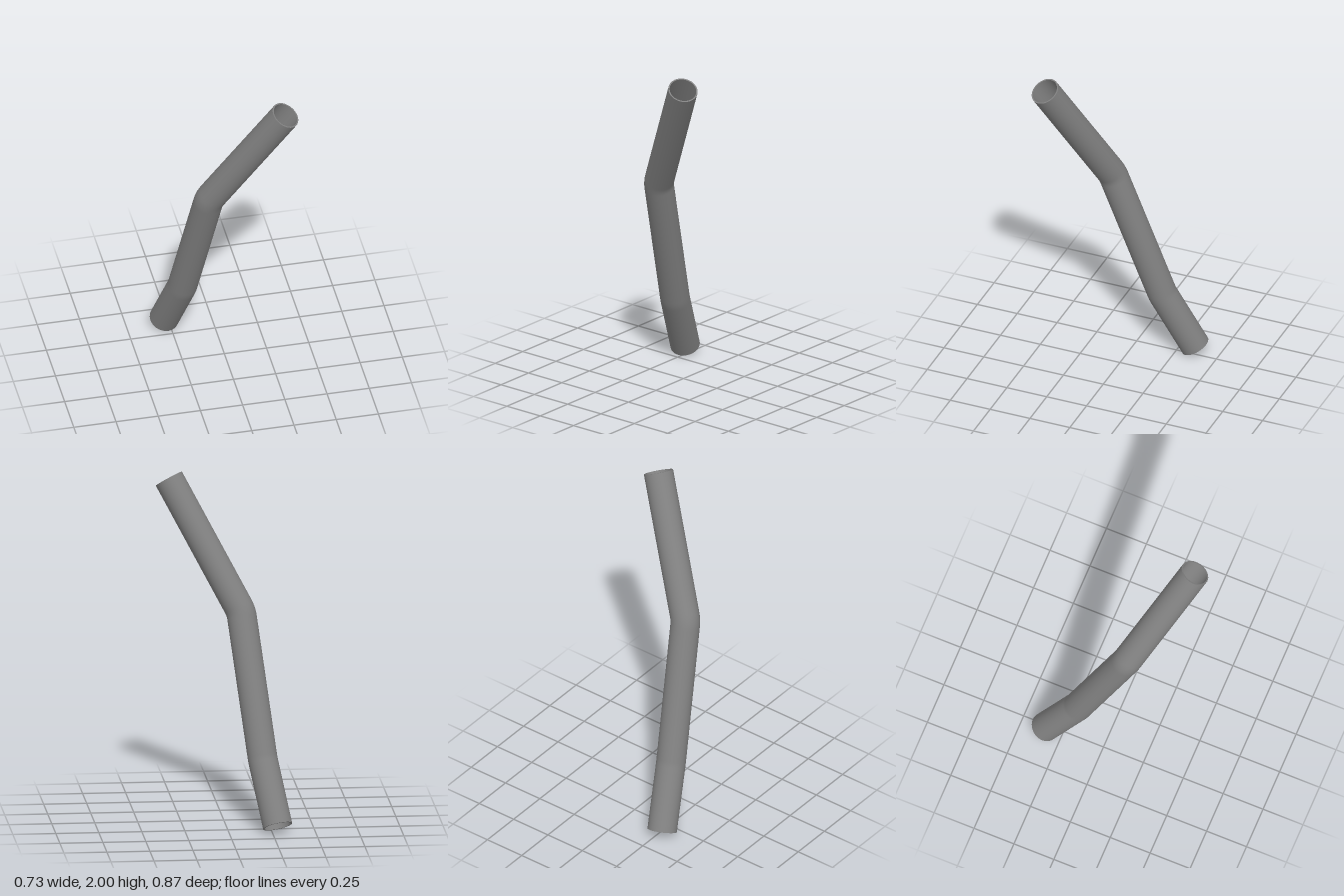
import * as THREE from 'three';

const OUTER = 0.086, INNER = 0.078;

export function createModel() {
  const group = new THREE.Group();
  group.name = 'bentPipe';
  const steel = new THREE.MeshStandardMaterial({ color: 0x808080, side: THREE.DoubleSide });
  steel.name = 'grey steel';

  const add = (name, geometry) => {
    const mesh = new THREE.Mesh(geometry, steel);
    mesh.name = name;
    group.add(mesh);
    return mesh;
  };

  // Centre line: three straight runs joined by two tight bends
  const points = [
    [-0.28, 0.04, -0.355], [-0.21, 0.398, -0.178], [-0.11, 1.215, 0.092], [0.286, 1.954, 0.351],
  ].map((p) => new THREE.Vector3(...p));
  const path = new THREE.CurvePath();
  const bendLength = [0, 0.02, 0.035];
  let start = points[0];
  for (let i = 1; i < 3; i++) {
    const towards = (to) => to.clone().sub(points[i]).setLength(bendLength[i]).add(points[i]);
    const enter = towards(points[i - 1]), leave = towards(points[i + 1]);
    path.add(new THREE.LineCurve3(start, enter));
    path.add(new THREE.QuadraticBezierCurve3(enter, points[i], leave));
    start = leave;
  }
  path.add(new THREE.LineCurve3(start, points[3]));

  // Outer and inner walls
  add('outerWall', new THREE.TubeGeometry(path, 180, OUTER, 40));
  add('innerWall', new THREE.TubeGeometry(path, 180, INNER, 40));

  // Flat rims closing the wall thickness at both open ends
  const rim = (name, end, next) => {
    const mesh = add(name, new THREE.RingGeometry(INNER, OUTER, 40));
    mesh.position.copy(end);
    mesh.quaternion.setFromUnitVectors(new THREE.Vector3(0, 0, 1), end.clone().sub(next).normalize());
  };
  rim('bottomRim', points[0], points[1]);
  rim('topRim', points[3], points[2]);

  return group;
}
